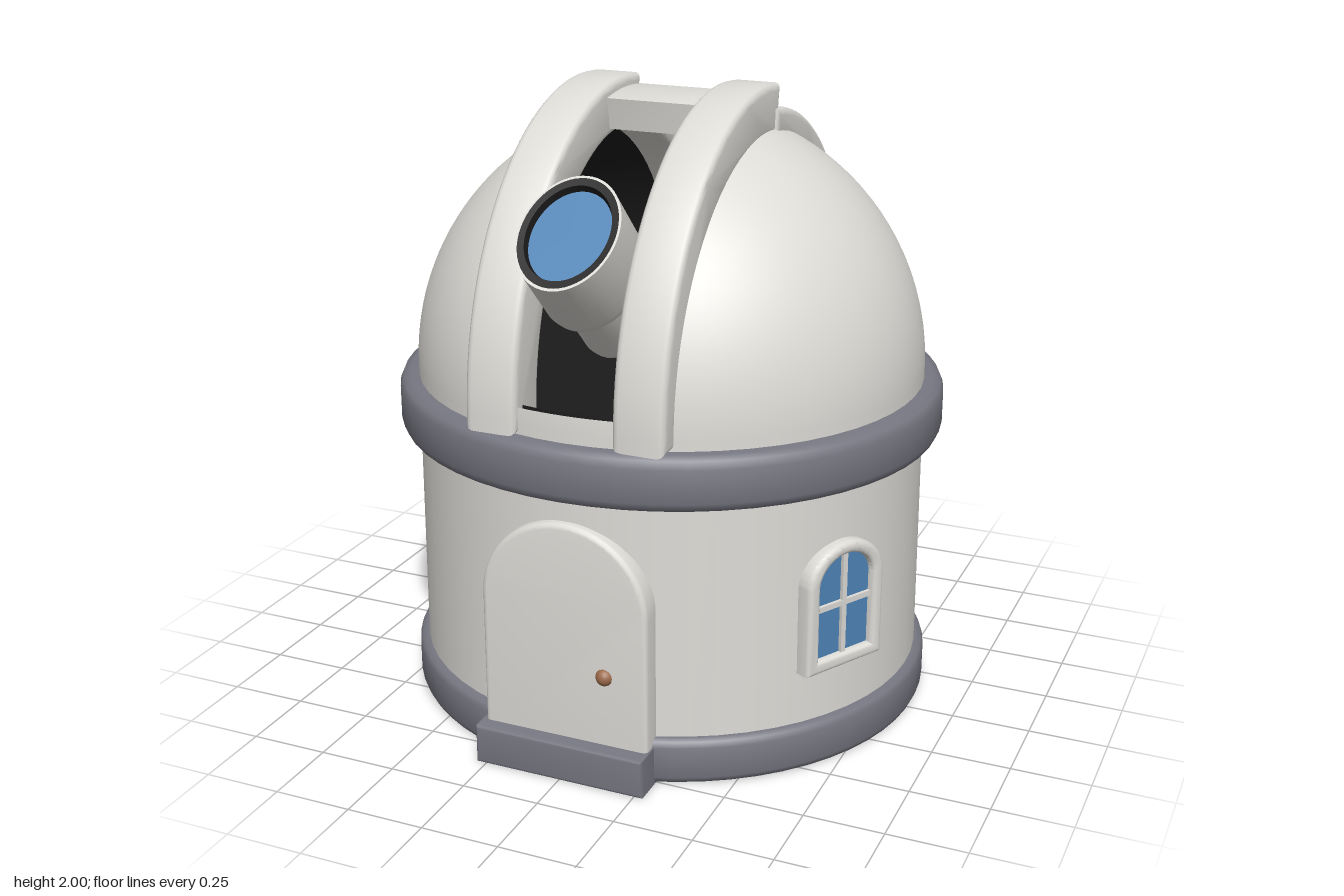
import * as THREE from 'three';
import { toCreasedNormals } from 'three/addons/utils/BufferGeometryUtils.js';

const RAD = Math.PI / 180;
const DEPTH = 0.965;      // the building is slightly shallower than wide
const CENTRE_Z = -0.015;
const DOME_Y = 1.1;
const DOME_R = 0.822;

function material(name, color, side = THREE.FrontSide) {
  const m = new THREE.MeshStandardMaterial({ color, side });
  m.name = name;
  return m;
}

function add(parent, name, geometry, mat) {
  const mesh = new THREE.Mesh(geometry, mat);
  mesh.name = name;
  parent.add(mesh);
  return mesh;
}

function lathe(points, start = 0, length = Math.PI * 2) {
  const profile = points.map(p => new THREE.Vector2(p[0], p[1]));
  return toCreasedNormals(new THREE.LatheGeometry(profile, 56, start, length), 0.9);
}

// Band profile with softened outer corners
function bandProfile(inner, r, y0, y1, b) {
  return [[inner, y0], [r - b, y0], [r - b * 0.3, y0 + b * 0.3], [r, y0 + b],
    [r, y1 - b], [r - b * 0.3, y1 - b * 0.3], [r - b, y1], [inner, y1]];
}

// Upright opening with an elliptical arched top
function arch(w, y0, spring, top) {
  const s = new THREE.Shape();
  s.moveTo(-w, y0);
  s.lineTo(w, y0);
  s.lineTo(w, spring);
  s.absellipse(0, spring, w, top - spring, 0, Math.PI, false);
  s.closePath();
  return s;
}

function extrude(shape, depth, bevel = 0) {
  const g = new THREE.ExtrudeGeometry(shape, {
    depth: depth - 2 * bevel, curveSegments: 28, bevelEnabled: bevel > 0,
    bevelSize: bevel, bevelThickness: bevel, bevelOffset: -bevel, bevelSegments: 3,
  });
  g.translate(0, 0, bevel);
  return toCreasedNormals(g, 0.7);
}

// Curved rib over the dome: angle 0 is the front, 90 the top, 180 the back
function rib(rz, ry, thick, from, to, width) {
  const pts = [];
  const steps = 30;
  for (const [a, b, t] of [[from, to, 0], [to, from, thick]]) {
    for (let i = 0; i <= steps; i++) {
      const k = (a + (b - a) * i / steps) * RAD;
      pts.push(new THREE.Vector2((rz - t) * Math.cos(k), (ry - t) * Math.sin(k)));
    }
  }
  const g = extrude(new THREE.Shape(pts), width, 0.022);
  g.translate(0, 0, -width / 2);
  return g.rotateY(-Math.PI / 2);
}

// Dome shell with its pole on the x axis, leaving a slot at the front
function addDome(parent, name, r, mat) {
  const cut = Math.acos(0.165 / r);
  const pieces = [
    ['left', -90, 90, 0, cut], ['right', -90, 90, Math.PI - cut, Math.PI],
    ['rear panel', -90, 8, cut, Math.PI - cut], ['sill', 86.2, 90, cut, Math.PI - cut],
  ];
  for (const [part, p0, p1, t0, t1] of pieces) {
    const g = new THREE.SphereGeometry(r, 40, 24, p0 * RAD, (p1 - p0) * RAD, t0, t1 - t0);
    g.rotateZ(-Math.PI / 2);
    add(parent, `${name} ${part}`, g, mat).position.y = DOME_Y;
  }
}

export function createModel() {
  const model = new THREE.Group();
  model.name = 'observatory';
  const white = material('plaster white', 0xdedcd7, THREE.DoubleSide);
  const grey = material('slate grey', 0x777782);
  const brown = material('door brown', 0x9c6c4c);
  const blue = material('glass blue', 0x4f84b6);
  const black = material('interior black', 0x1b1b1b, THREE.DoubleSide);

  // Round building
  const building = new THREE.Group();
  building.name = 'building';
  building.scale.z = DEPTH;
  building.position.z = CENTRE_Z;
  model.add(building);
  add(building, 'wall', new THREE.CylinderGeometry(DOME_R, 0.828, 1.08, 56, 1, true), white)
    .position.y = 0.56;
  add(building, 'base', lathe(bandProfile(0.78, 0.858, 0, 0.15, 0.025), 0.3, Math.PI * 2 - 0.6), grey);
  add(building, 'underside', new THREE.CircleGeometry(0.84, 56).rotateX(Math.PI / 2), grey)
    .position.y = 0.002;
  add(building, 'cornice', lathe(bandProfile(0.78, 0.884, 0.895, 1.07, 0.035)), grey);
  addDome(building, 'dome', DOME_R, white);
  addDome(building, 'dome lining', DOME_R - 0.03, black);
  add(building, 'dome floor', new THREE.CircleGeometry(0.8, 48).rotateX(-Math.PI / 2), black)
    .position.y = 1.09;

  // Shutter rails and the cap above the slot
  const shutter = new THREE.Group();
  shutter.name = 'shutter';
  shutter.position.set(0, DOME_Y, CENTRE_Z);
  model.add(shutter);
  for (const side of [-1, 1]) {
    add(shutter, 'front rail', rib(0.802, 0.9, 0.16, -2, 99, 0.165), white).position.x = side * 0.237;
    add(shutter, 'rear rail', rib(0.806, 0.825, 0.1, 95, 182, 0.165), white).position.x = side * 0.247;
  }
  add(shutter, 'shutter cap', rib(0.80, 0.865, 0.1, 80, 99, 0.36), white);

  // Telescope, built along y and tilted toward the front
  const telescope = new THREE.Group();
  telescope.name = 'telescope';
  telescope.position.set(0, 1.685, 0.725);
  telescope.rotation.x = Math.PI / 4;
  telescope.scale.z = 1.23;
  model.add(telescope);
  add(telescope, 'telescope tube', lathe([[0.08, -0.26], [0.135, -0.26], [0.15, -0.245],
    [0.155, -0.22], [0.155, 0], [0.147, 0]]), white);
  add(telescope, 'telescope rear tube', lathe([[0, -0.51], [0.095, -0.51], [0.112, -0.495],
    [0.117, -0.47], [0.117, -0.25]]), white);
  add(telescope, 'lens rim', lathe([[0.148, 0.001], [0.128, 0], [0.122, -0.025]]), black);
  add(telescope, 'lens', new THREE.CircleGeometry(0.124, 40).rotateX(-Math.PI / 2), blue)
    .position.y = -0.022;

  // Doorway
  const doorway = new THREE.Group();
  doorway.name = 'doorway';
  model.add(doorway);
  add(doorway, 'step', extrude(new THREE.Shape([[-0.282, 0], [0.278, 0], [0.278, 0.125], [-0.282, 0.125]]
    .map(p => new THREE.Vector2(p[0], p[1]))), 0.26, 0.01), grey).position.z = 0.6;
  const frame = arch(0.272, 0.08, 0.56, 0.825);
  frame.holes.push(arch(0.195, 0.11, 0.55, 0.752));
  add(doorway, 'door frame', extrude(frame, 0.125, 0.016), white).position.z = 0.682;
  add(doorway, 'door', extrude(arch(0.2, 0.11, 0.55, 0.757), 0.06), brown).position.z = 0.727;
  const porthole = add(doorway, 'door porthole', new THREE.CircleGeometry(0.1, 36), blue);
  porthole.position.set(-0.004, 0.525, 0.79);
  add(doorway, 'porthole rim', new THREE.TorusGeometry(0.1, 0.008, 8, 36), white)
    .position.copy(porthole.position);
  add(doorway, 'door knob', new THREE.SphereGeometry(0.028, 16, 12), brown)
    .position.set(0.133, 0.352, 0.8);

  // Window on the left front of the wall
  const windowGroup = new THREE.Group();
  windowGroup.name = 'window';
  windowGroup.position.set(0.7216, 0, 0.372);
  windowGroup.rotation.y = 61 * RAD;
  model.add(windowGroup);
  const casing = arch(0.152, 0.32, 0.6, 0.73);
  casing.holes.push(arch(0.106, 0.362, 0.6, 0.69));
  add(windowGroup, 'window frame', extrude(casing, 0.085, 0.015), white).position.z = -0.05;
  add(windowGroup, 'window glass', extrude(arch(0.112, 0.355, 0.6, 0.696), 0.008), blue).position.z = 0.003;
  add(windowGroup, 'window upright bar', new THREE.BoxGeometry(0.018, 0.33, 0.014), white)
    .position.set(0, 0.525, 0.015);
  add(windowGroup, 'window cross bar', new THREE.BoxGeometry(0.215, 0.018, 0.014), white)
    .position.set(0, 0.528, 0.015);

  return model;
}
